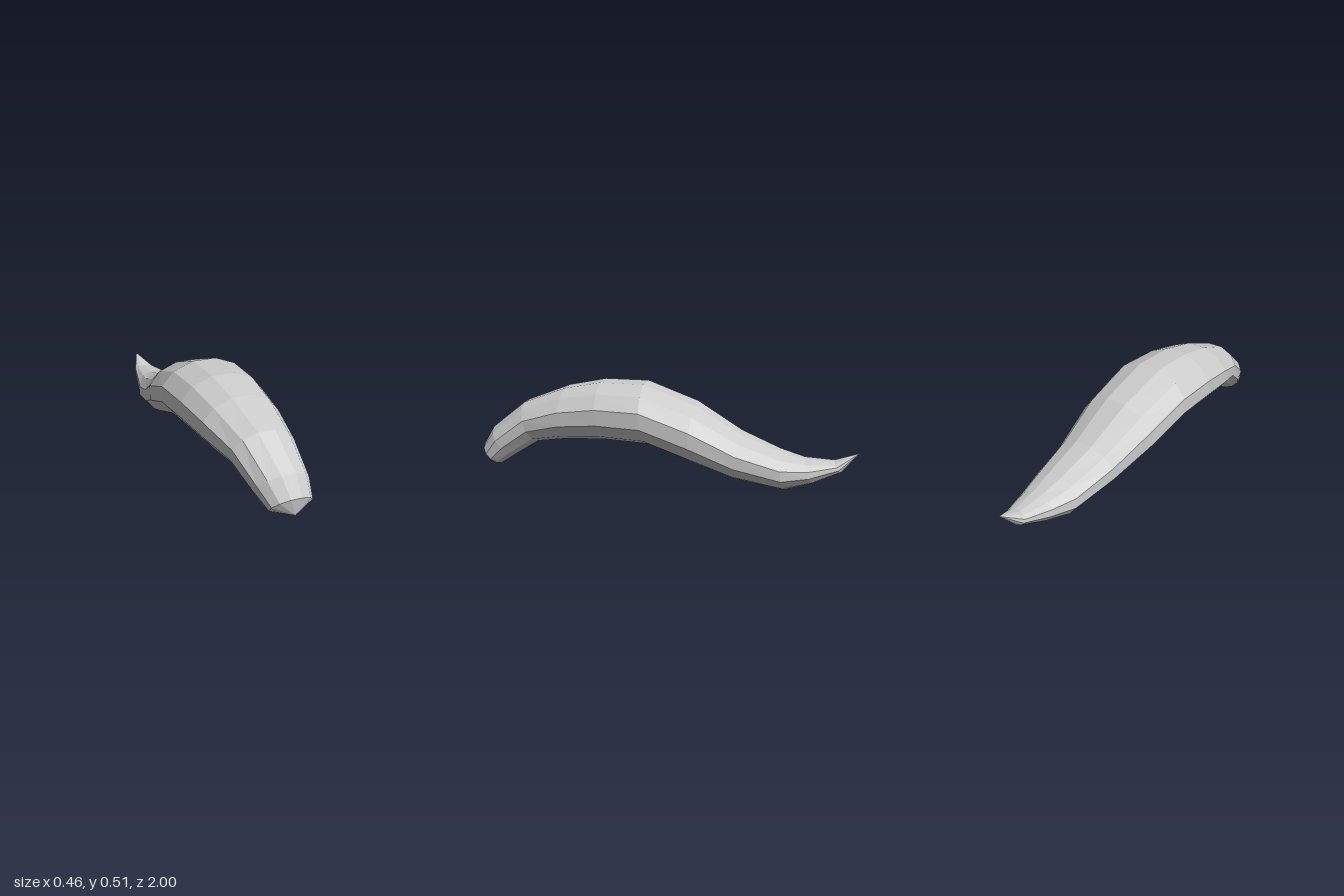
import * as THREE from 'three';

const SIDES = 12;

// Cross-sections from the blunt nose to the tail:
// [left x, right x, top z, top y, bottom z, bottom y]
const RINGS = [
  [-0.06, 0.147, 1.0, 0.155, 0.905, 0.05],
  [-0.10, 0.160, 0.945, 0.25, 0.83, 0.10],
  [-0.148, 0.167, 0.77, 0.39, 0.70, 0.18],
  [-0.20, 0.192, 0.545, 0.475, 0.545, 0.20],
  [-0.225, 0.213, 0.345, 0.515, 0.325, 0.21],
  [-0.23, 0.230, 0.11, 0.515, 0.09, 0.20],
  [-0.203, 0.228, -0.16, 0.42, -0.14, 0.12],
  [-0.145, 0.203, -0.40, 0.28, -0.36, 0.045],
  [-0.10, 0.183, -0.60, 0.20, -0.625, 0.0],
  [-0.06, 0.143, -0.725, 0.165, -0.77, 0.04],
  [-0.027, 0.088, -0.875, 0.157, -0.91, 0.10],
];
const NOSE = [0.05, 0.065, 0.985];
const TAIL = [0.02, 0.20, -1.0];

// Tilted twelve-sided rings joined by quads, closed by a fan at each end
function bodyGeometry() {
  const pos = [], index = [];
  const k = Math.cos(Math.PI / SIDES);
  for (const [xl, xr, zt, yt, zb, yb] of RINGS) {
    for (let j = 0; j < SIDES; j++) {
      const a = ((j + 0.5) / SIDES) * Math.PI * 2;
      const u = Math.cos(a) / k, v = Math.sin(a) / k;
      pos.push(
        (xl + xr) / 2 + (u * (xr - xl)) / 2,
        (yt + yb) / 2 + (v * (yt - yb)) / 2,
        (zt + zb) / 2 + (v * (zt - zb)) / 2
      );
    }
  }
  const nose = RINGS.length * SIDES, tail = nose + 1;
  pos.push(...NOSE, ...TAIL);
  const last = RINGS.length - 1;
  for (let j = 0; j < SIDES; j++) {
    const n = (j + 1) % SIDES;
    for (let i = 0; i < last; i++) {
      const a = i * SIDES + j, b = i * SIDES + n;
      index.push(a, a + SIDES, b, b, a + SIDES, b + SIDES);
    }
    index.push(nose, j, n);
    index.push(tail, last * SIDES + n, last * SIDES + j);
  }
  const geo = new THREE.BufferGeometry();
  geo.setAttribute('position', new THREE.Float32BufferAttribute(pos, 3));
  geo.setIndex(index);
  geo.computeVertexNormals();
  return geo;
}

export function createModel() {
  const group = new THREE.Group();
  group.name = 'curvedPod';
  const material = new THREE.MeshStandardMaterial({ color: 0xcccccc, flatShading: true });
  const body = new THREE.Mesh(bodyGeometry(), material);
  body.name = 'body';
  group.add(body);
  return group;
}
